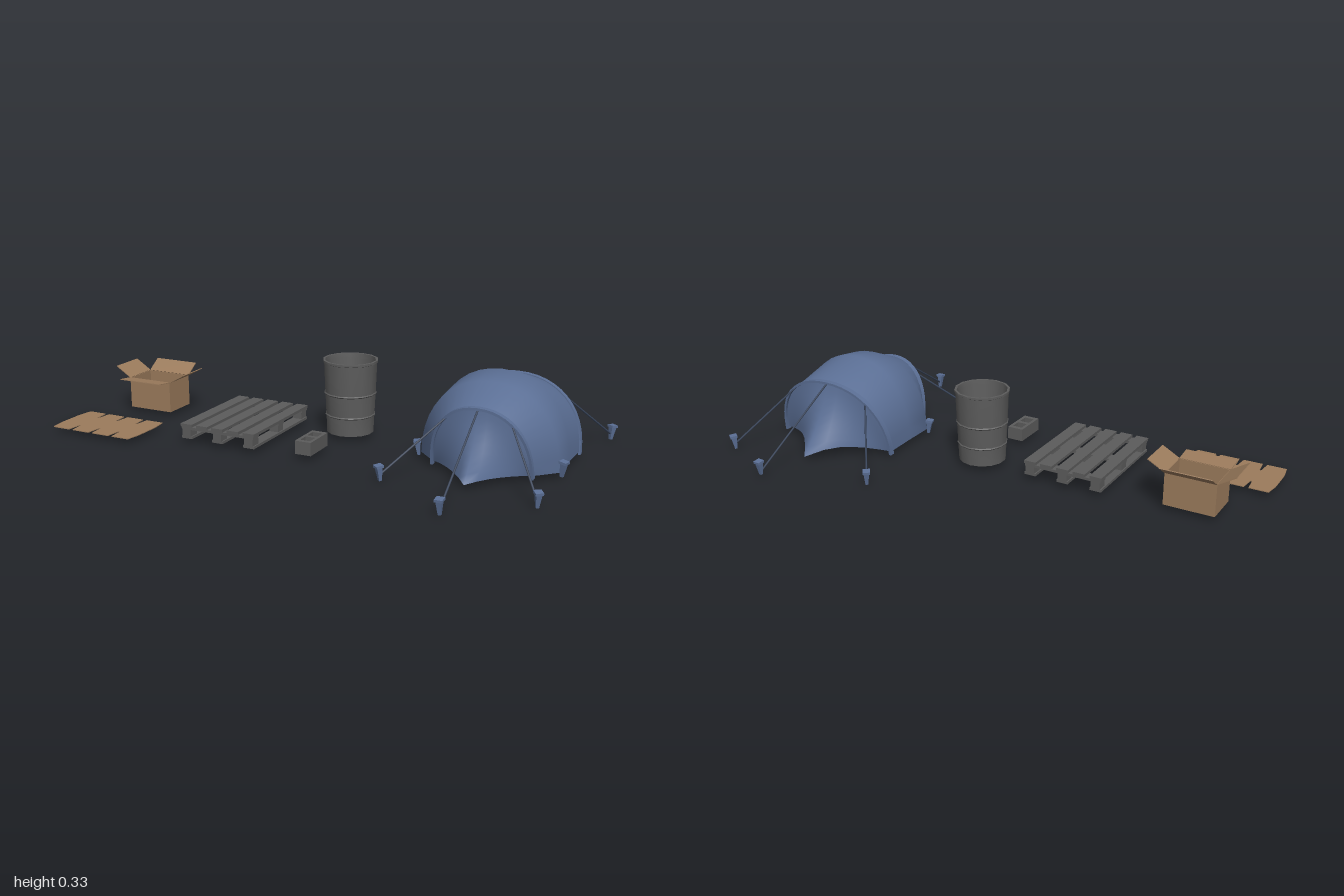
import * as THREE from 'three';
import { toCreasedNormals } from 'three/addons/utils/BufferGeometryUtils.js';

const mat = (color) => new THREE.MeshStandardMaterial({ color, side: THREE.DoubleSide });
const blue = mat(0x5b6f95), dark = mat(0x5c5c5c), card = mat(0x9b7b5c), cord = mat(0x3a465c);
const GROUND = 0.023;

function add(parent, name, geo, material, x = 0, y = 0, z = 0) {
  const m = new THREE.Mesh(geo, material);
  m.name = name;
  m.position.set(x, y, z);
  parent.add(m);
  return m;
}
const box = (parent, name, material, w, h, d, x, y, z) =>
  add(parent, name, new THREE.BoxGeometry(w, h, d), material, x, y, z);

function group(parent, name, x = 0, y = 0, z = 0) {
  const g = new THREE.Group();
  g.name = name;
  g.position.set(x, y, z);
  parent.add(g);
  return g;
}

// Surface grid: fn(u, v) gives [x, y, z]
function surface(nu, nv, fn) {
  const geo = new THREE.PlaneGeometry(1, 1, nu, nv);
  const { position: p, uv } = geo.attributes;
  for (let i = 0; i < p.count; i++) p.setXYZ(i, ...fn(uv.getX(i), uv.getY(i)));
  geo.computeVertexNormals();
  return geo;
}

// Tent hoops, back to front: base z, top z, half width, height
const HOOPS = [
  [-0.175, -0.222, 0.26, 0.253],
  [-0.04, -0.04, 0.255, 0.31],
  [0.085, 0.08, 0.253, 0.292],
  [0.157, 0.219, 0.18, 0.23],
];
function hoopPoint([zBase, zTop, w, h], t, grow = 0) {
  const c = Math.cos(t), s = Math.max(0, Math.sin(t));
  const x = Math.sign(c) * Math.abs(c) ** 0.92 * (w + grow);
  return [x, GROUND + s ** 0.92 * (h + grow), zBase + (zTop - zBase) * s];
}

function buildTent(root) {
  const tent = group(root, 'tent', 0.653, 0, 0.002);
  const back = HOOPS[0], front = HOOPS[3];

  // Main canopy lofted through the hoops
  add(tent, 'canopy', surface(20, 3, (u, v) =>
    hoopPoint(HOOPS[Math.round(v * 3)], u * Math.PI)), blue);

  // Porches running from an end hoop to a pointed hem
  const porch = (name, hoop, tip, hemPower, sag, lift) =>
    add(tent, name, surface(20, 8, (u, v) => {
      const s = tip > 0 ? v : 1 - v;
      const [x, y, z] = hoopPoint(hoop, u * Math.PI);
      const k = Math.abs(x) / hoop[2];
      const hemZ = hoop[0] + (tip - hoop[0]) * (1 - k) ** hemPower;
      const hemY = GROUND + lift * Math.sin(Math.PI * k ** 0.6) ** 2;
      return [x, y + (hemY - y) * s, z + (hemZ - z) * s ** sag];
    }), blue);
  porch('frontPorch', front, 0.342, 1.4, 1.7, 0.004);
  porch('backPorch', back, -0.385, 1.7, 1.45, 0.02);

  // Raised pole sleeves over both end hoops
  const section = [[-1, -0.003], [-1, 0.006], [1, 0.006], [1, -0.003], [-1, -0.003]];
  for (const [name, hoop] of [['frontSleeve', front], ['backSleeve', back]]) {
    const geo = surface(24, 4, (u, v) => {
      const [side, grow] = section[Math.round(v * 4)];
      const t = u * Math.PI;
      const [x, y, z] = hoopPoint(hoop, t, grow);
      return [x, y - 0.011 * (1 - Math.sin(t)) ** 4, z + side * 0.011];
    });
    add(tent, name, toCreasedNormals(geo, 0.7), blue);
  }

  // Tapered square pegs leaning away from the tent
  const peg = (x, z, y = 0.001) => {
    const g = group(tent, 'peg', x, y, z);
    g.rotation.y = Math.atan2(x, z);
    const lean = group(g, 'pegLean');
    lean.rotation.x = 0.12;
    const spike = new THREE.CylinderGeometry(0.015, 0.007, 0.05, 4).rotateY(Math.PI / 4);
    add(lean, 'pegSpike', toCreasedNormals(spike, 0.5), blue, 0, 0.027, 0);
    box(lean, 'pegHead', blue, 0.028, 0.009, 0.028, 0, 0.055, 0);
  };

  // Guy lines from a hoop to a peg: hoop, angle, peg x, peg z, peg lift
  const lines = [
    [back, 0.28, 0.319, -0.424], [back, 0.5, 0.052, -0.573, 0.012], [back, 0.72, -0.328, -0.424],
    [front, 0.29, 0.26, 0.38], [front, 0.5, 0.003, 0.572], [front, 0.71, -0.288, 0.375],
  ];
  for (const [hoop, a, x, z, lift] of lines) {
    peg(x, z, lift);
    const from = new THREE.Vector3(...hoopPoint(hoop, a * Math.PI));
    const path = new THREE.LineCurve3(from, new THREE.Vector3(x, 0.025, z));
    add(tent, 'guyLine', new THREE.TubeGeometry(path, 1, 0.0038, 5), cord);
  }
  for (const x of [-0.262, 0.262]) peg(x, 0.083, 0.008);
}

function buildDrum(root) {
  const profile = [
    [0, 0.008], [0.084, 0.008], [0.085, 0], [0.091, 0], [0.091, 0.008],
    [0.0935, 0.066], [0.097, 0.07], [0.094, 0.074],
    [0.0975, 0.15], [0.101, 0.154], [0.098, 0.158],
    [0.1025, 0.272], [0.106, 0.274], [0.106, 0.282], [0.097, 0.282],
    [0.095, 0.266], [0.078, 0.02], [0, 0.02],
  ].map(([r, y]) => new THREE.Vector2(r, y));
  const geo = toCreasedNormals(new THREE.LatheGeometry(profile, 14), 0.55);
  add(root, 'drum', geo, dark, 0.059, GROUND, -0.034);
}

function buildPallet(root) {
  const pallet = group(root, 'pallet', -0.313, -0.005, 0.123);
  const rows = [-0.19, 0, 0.19];
  for (let i = -2; i <= 2; i++)
    box(pallet, 'deckSlat', dark, 0.048, 0.011, 0.424, i * 0.0672, 0.0795, 0);
  for (const z of rows) box(pallet, 'crossBoard', dark, 0.31, 0.01, 0.042, 0, 0.069, z);
  for (const x of [-0.134, 0, 0.134]) {
    box(pallet, 'skid', dark, 0.046, 0.01, 0.42, x, 0.033, 0);
    for (const z of rows) box(pallet, 'spacerBlock', dark, 0.036, 0.028, 0.042, x, 0.051, z);
  }
}

function buildCinderBlock(root) {
  const rect = (P, x, y, w, h) => {
    const p = new P();
    p.moveTo(x - w / 2, y - h / 2).lineTo(x + w / 2, y - h / 2);
    p.lineTo(x + w / 2, y + h / 2).lineTo(x - w / 2, y + h / 2).closePath();
    return p;
  };
  const shape = rect(THREE.Shape, 0, 0, 0.064, 0.136);
  for (const y of [-0.029, 0.029]) shape.holes.push(rect(THREE.Path, 0, y, 0.04, 0.042));
  const geo = new THREE.ExtrudeGeometry(shape, { depth: 0.05, bevelEnabled: false });
  add(root, 'cinderBlock', geo.rotateX(-Math.PI / 2), dark, 0.033, GROUND, 0.242);
}

function buildCarton(root) {
  const W = 0.192, H = 0.124, D = 0.139, T = 0.003;
  const carton = group(root, 'carton', -0.793, GROUND, 0.008);
  box(carton, 'cartonFloor', card, W, T, D, 0, T / 2, 0);
  // Wall and hinged flap per side: turn, wall width, distance, flap length, flap rise
  const sides = [
    [0, W, D / 2, 0.068, 0.12], [Math.PI, W, D / 2, 0.069, 0.6],
    [Math.PI / 2, D, W / 2, 0.076, 0.5], [-Math.PI / 2, D, W / 2, 0.078, 0.56],
  ];
  for (const [turn, width, dist, length, rise] of sides) {
    const side = group(carton, 'cartonSide');
    side.rotation.y = turn;
    box(side, 'cartonWall', card, width, H, T, 0, H / 2, dist - T / 2);
    const hinge = group(side, 'flapHinge', 0, H, dist);
    hinge.rotation.x = -rise;
    box(hinge, 'cartonFlap', card, width, T, length, 0, 0, length / 2);
  }
}

function buildFlatCarton(root) {
  // Four panels in a row with tapered flaps at both edges
  const half = 0.113, fold = 0.053, pw = 0.0925, gap = 0.003, taper = 0.009;
  const pts = [];
  for (let i = 0; i < 4; i++) {
    const x0 = (i - 2) * pw, x1 = x0 + pw;
    pts.push([x0 + (i ? gap : 0), fold], [x0 + taper, half], [x1 - taper, half], [x1 - (i < 3 ? gap : 0), fold]);
  }
  const outline = [...pts, ...pts.map(([x, y]) => [x, -y]).reverse()];
  const shape = new THREE.Shape(outline.map(([x, y]) => new THREE.Vector2(x, y)));
  const geo = new THREE.ExtrudeGeometry(shape, { depth: 0.003, bevelEnabled: false });
  add(root, 'flatCarton', geo.rotateX(-Math.PI / 2), card, -0.815, GROUND, 0.33);
}

export function createModel() {
  const root = new THREE.Group();
  root.name = 'campSet';
  buildTent(root);
  buildDrum(root);
  buildPallet(root);
  buildCinderBlock(root);
  buildCarton(root);
  buildFlatCarton(root);
  return root;
}
